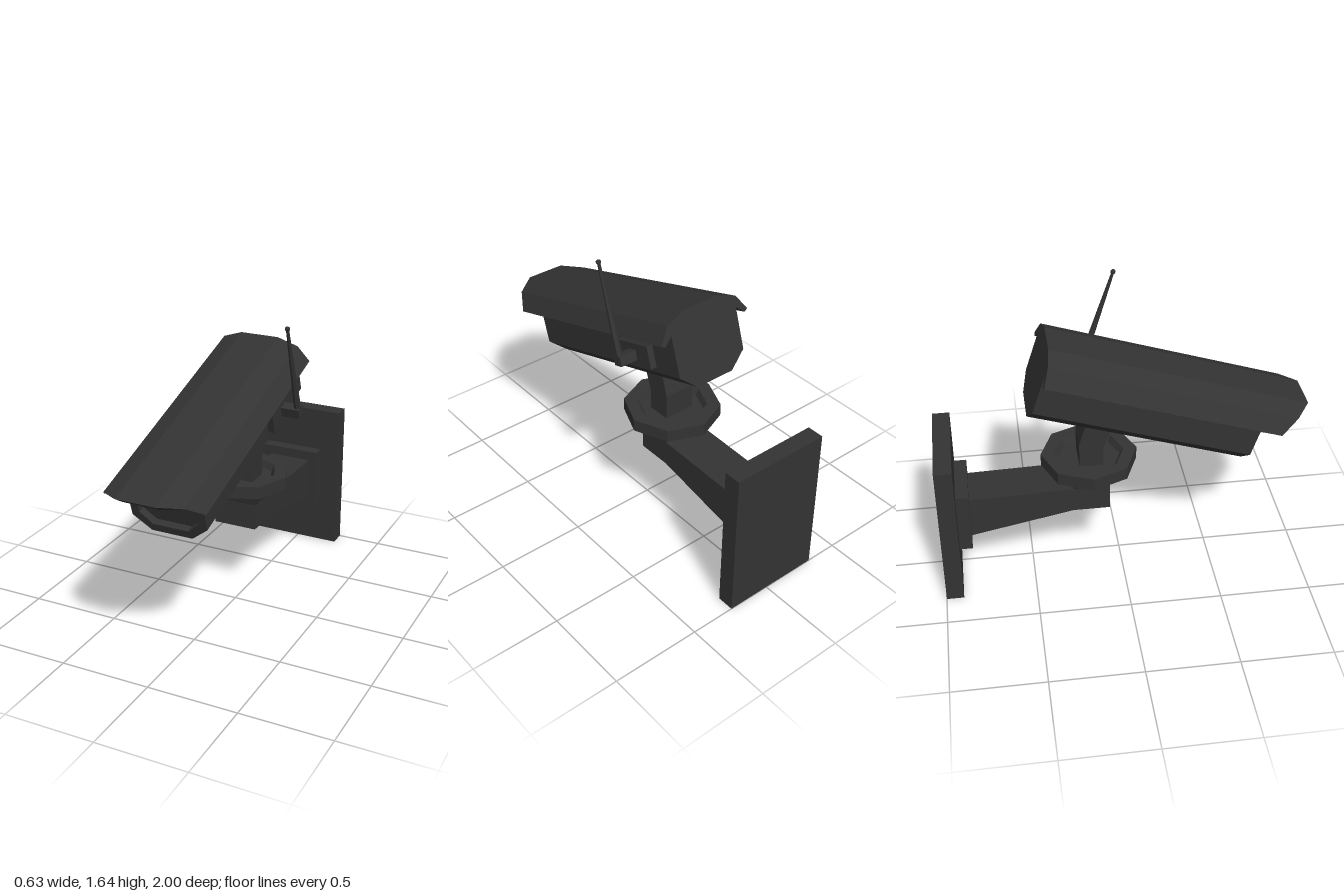
import * as THREE from 'three';

const material = new THREE.MeshStandardMaterial({ color: 0x333333, flatShading: true });
const CX = -0.035; // centre plane of the mount and camera

function add(parent, name, geometry, x = 0, y = 0, z = 0) {
  const mesh = new THREE.Mesh(geometry, material);
  mesh.name = name;
  mesh.position.set(x, y, z);
  parent.add(mesh);
  return mesh;
}

const toShape = (pts) => new THREE.Shape(pts.map(([x, y]) => new THREE.Vector2(x, y)));

const extrude = (shape, depth) => new THREE.ExtrudeGeometry(shape, { depth, bevelEnabled: false });

// Side profile of [z, y] points, extruded symmetrically across x
function sideExtrude(pts, width) {
  return extrude(toShape(pts), width).rotateY(-Math.PI / 2).translate(width / 2, 0, 0);
}

// Mirror a right-hand half outline into a closed polygon
const mirrored = (half) => [...half, ...half.map(([x, y]) => [-x, y]).reverse()];

// Faceted sunshade: a closed thin section lofted from the rear to a stepped front rim
function hoodGeometry() {
  // [x, height, front reach], centre to edge
  const outer = [[0.11, 0, 1.445], [0.222, -0.042, 1.375], [0.283, -0.13, 1.299]];
  const inner = [[0.1, -0.055, 1.4], [0.195, -0.085, 1.335], [0.262, -0.143, 1.28]];
  const row = (half) => [...half.map(([x, y, s]) => [-x, y, s]).reverse(), ...half];
  const ring = [...row(outer), ...row(inner).reverse()];
  const n = ring.length;
  const positions = [];
  for (const [x, y] of ring) positions.push(x, y, 0);
  for (const [x, y, s] of ring) positions.push(x, y, s);
  const index = [];
  const quad = (a, b, c, d) => index.push(a, b, c, a, c, d);
  for (let i = 0; i < n; i++) {
    const j = (i + 1) % n;
    quad(i, i + n, j + n, j);
  }
  for (let i = 0; i < n / 2 - 1; i++) {
    const a = n - 1 - i, b = n - 2 - i;
    quad(i + 1 + n, i + n, a + n, b + n); // front rim
    quad(i, i + 1, b, a); // rear rim
  }
  const g = new THREE.BufferGeometry();
  g.setAttribute('position', new THREE.Float32BufferAttribute(positions, 3));
  g.setIndex(index);
  const flat = g.toNonIndexed();
  flat.computeVertexNormals();
  return flat;
}

export function createModel() {
  const model = new THREE.Group();
  model.name = 'securityCamera';

  // Wall mount
  add(model, 'wallPlate', new THREE.BoxGeometry(0.565, 0.855, 0.095), CX, 0.4275, -0.9525);
  add(model, 'armFlange', new THREE.BoxGeometry(0.345, 0.35, 0.075), CX, 0.43, -0.8725);
  add(model, 'arm', sideExtrude([
    [-0.07, 0.42], [-0.07, 0.565], [-0.27, 0.565], [-0.84, 0.55], [-0.84, 0.305], [-0.27, 0.42],
  ], 0.245), CX);

  // Swivel: flared neck, octagonal dish and bent stem
  const neck = new THREE.CylinderGeometry(1.22 * Math.SQRT2, Math.SQRT2, 0.09, 4, 1, false, Math.PI / 4);
  add(model, 'swivelNeck', neck.scale(0.122, 1, 0.098), CX, 0.61, -0.17);
  const dish = [[0, 0], [0.262, 0], [0.262, 0.07], [0.19, 0.07], [0.17, 0.035], [0, 0.035]];
  add(model, 'swivelDish', new THREE.LatheGeometry(dish.map(([r, y]) => new THREE.Vector2(r, y)), 8),
    CX, 0.655, -0.17);
  add(model, 'stem', sideExtrude([
    [-0.1, 0.68], [-0.1, 0.8], [-0.03, 0.99], [-0.17, 1.03], [-0.23, 0.83], [-0.23, 0.68],
  ], 0.18), CX);

  // Tilted camera head, with its origin at the rear top edge
  const head = new THREE.Group();
  head.name = 'cameraHead';
  head.position.set(CX, 1.45, -0.375);
  head.rotation.x = THREE.MathUtils.degToRad(18);
  model.add(head);

  add(head, 'hood', hoodGeometry());
  const outline = mirrored([[0.115, -0.41], [0.212, -0.327], [0.212, -0.06], [0.1, -0.03]]);
  add(head, 'housing', extrude(toShape(outline), 1.17));

  // Raised bezel around the recessed front window
  const bezel = toShape(outline);
  bezel.holes.push(toShape(mirrored([
    [0.1, -0.365], [0.168, -0.3], [0.168, -0.1], [0.09, -0.075],
  ])));
  add(head, 'frontBezel', extrude(bezel, 0.04), 0, 0, 1.17);

  // Antenna on the left side
  add(head, 'antennaPlate', new THREE.BoxGeometry(0.04, 0.125, 0.265), 0.228, -0.235, 0.313);
  add(head, 'antennaPivot', new THREE.BoxGeometry(0.12, 0.055, 0.055), 0.29, -0.235, 0.313);
  add(head, 'antennaRod', new THREE.CylinderGeometry(0.008, 0.02, 0.53, 6), 0.333, 0.02, 0.313);
  add(head, 'antennaTip', new THREE.SphereGeometry(0.014, 8, 6), 0.333, 0.287, 0.313);

  return model;
}
